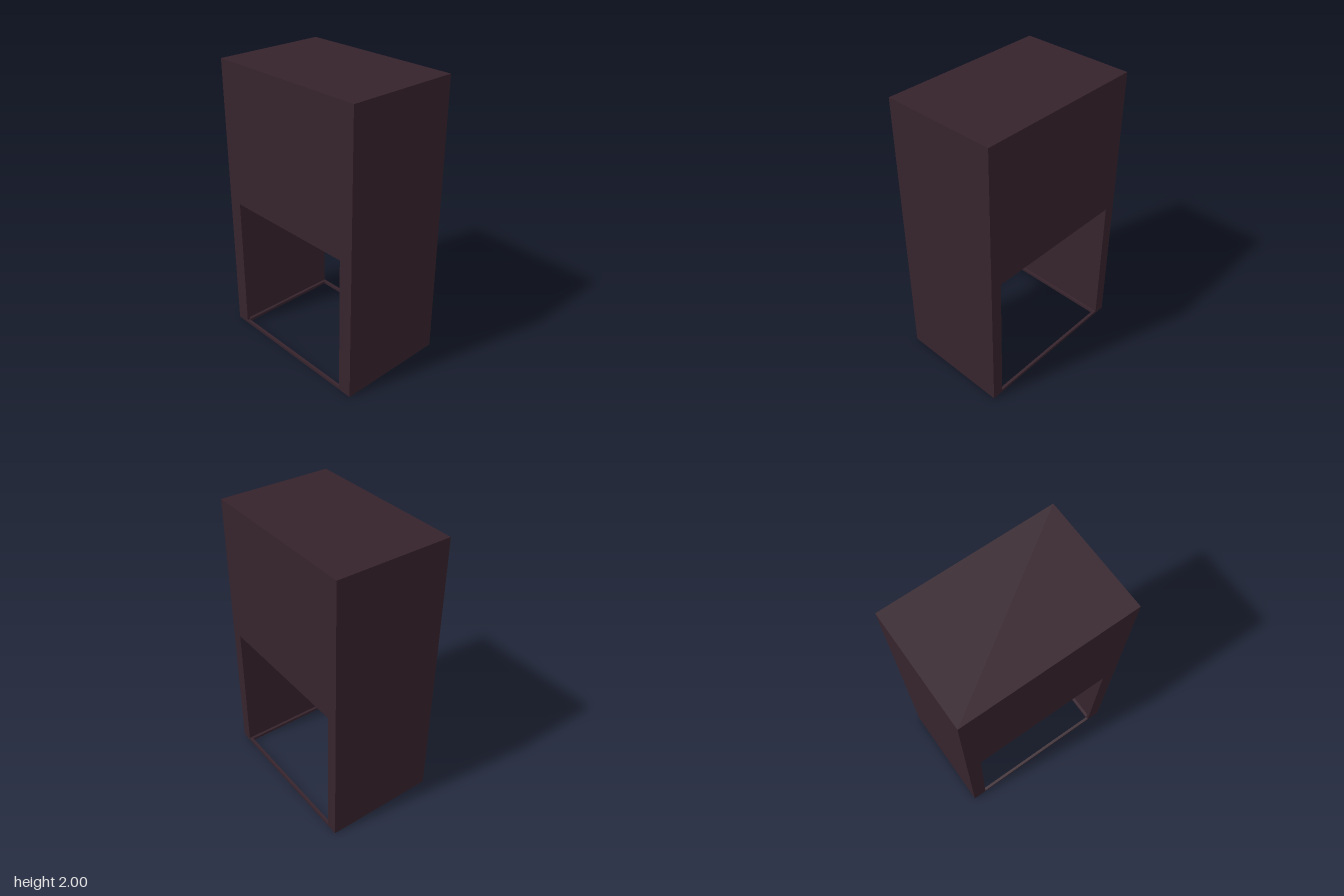
import * as THREE from 'three';

export function createModel() {
  const group = new THREE.Group();
  const darkPlum = new THREE.MeshStandardMaterial({ color: 0x36232c });
  darkPlum.name = 'darkPlum';

  // Box given by its minimum and maximum corners
  function block(name, [x0, y0, z0], [x1, y1, z1]) {
    const mesh = new THREE.Mesh(new THREE.BoxGeometry(x1 - x0, y1 - y0, z1 - z0), darkPlum);
    mesh.position.set((x0 + x1) / 2, (y0 + y1) / 2, (z0 + z1) / 2);
    mesh.name = name;
    group.add(mesh);
  }

  // Closed upper cabinet
  block('upperCabinet', [-0.6, 1, -0.4], [0.6, 2, 0.4]);

  // Side walls, each with a slim jamb at the front and a base rail
  for (const [side, s] of [['left', 1], ['right', -1]]) {
    const span = (a, b) => [Math.min(s * a, s * b), Math.max(s * a, s * b)];
    const [w0, w1] = span(0.52, 0.6);
    const [j0, j1] = span(0.5, 0.52);
    block(side + 'Wall', [w0, 0, -0.4], [w1, 1, 0.4]);
    block(side + 'FrontJamb', [j0, 0.02, 0.38], [j1, 1, 0.4]);
    block(side + 'BaseRail', [j0, 0, -0.38], [j1, 0.02, 0.38]);
  }

  // Thin sills across the front and back of the opening
  block('frontSill', [-0.52, 0, 0.38], [0.52, 0.02, 0.4]);
  block('backSill', [-0.52, 0, -0.4], [0.52, 0.02, -0.38]);

  return group;
}
